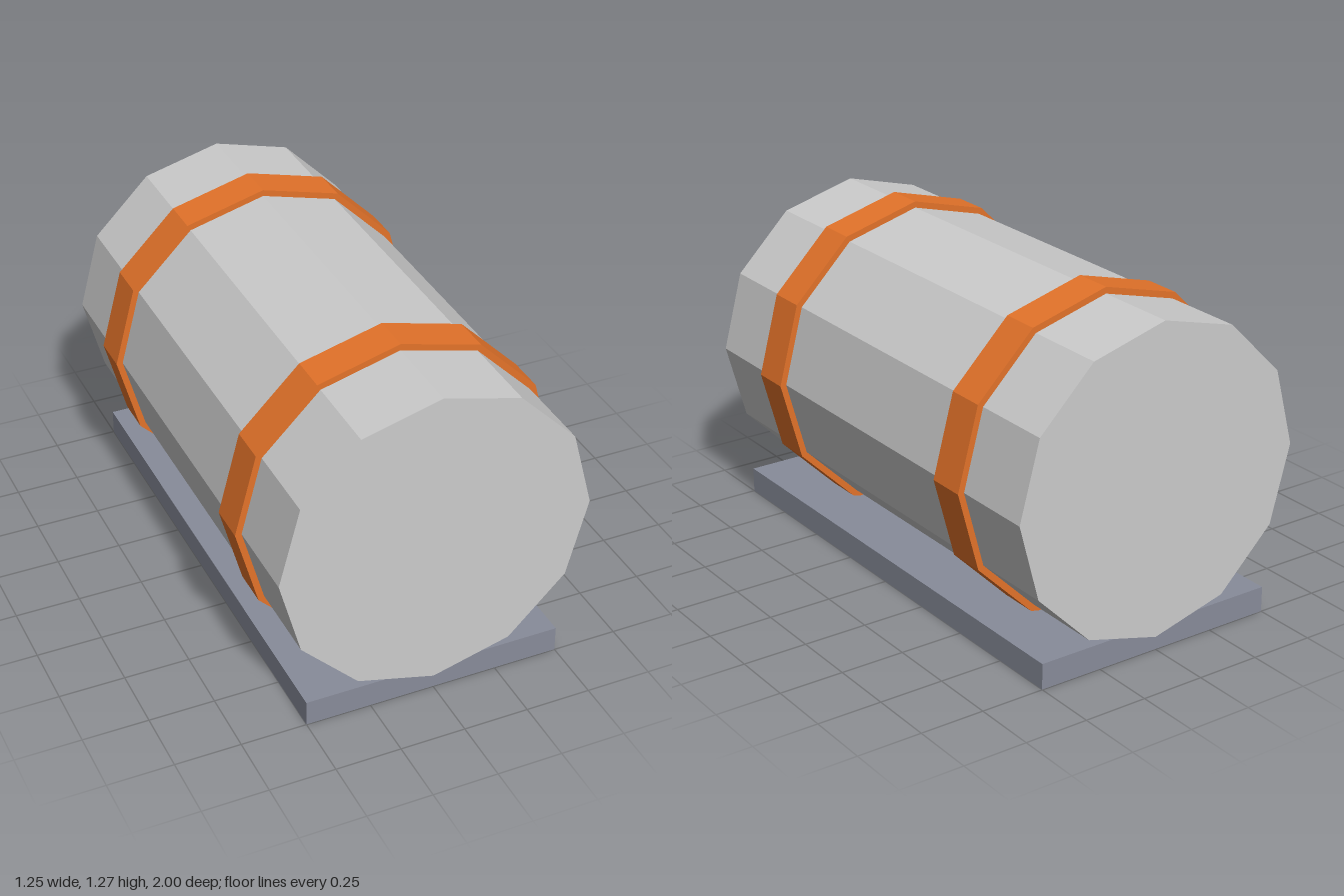
import * as THREE from 'three';

const SIDES = 12;
const AXIS_Y = 0.65;

const paint = (color) => new THREE.MeshStandardMaterial({ color, flatShading: true });

// Twelve-sided drum lying along z, with a corner at the top
function drum(name, radius, length, z, material) {
  const geometry = new THREE.CylinderGeometry(radius, radius, length, SIDES);
  geometry.rotateX(Math.PI / 2);
  const mesh = new THREE.Mesh(geometry, material);
  mesh.name = name;
  mesh.position.set(0, AXIS_Y, z);
  return mesh;
}

export function createModel() {
  const model = new THREE.Group();
  model.name = 'strappedTank';

  // Tank body
  model.add(drum('tank', 0.6, 2, 0, paint(0xcccccc)));

  // Two raised straps
  const strapPaint = paint(0xe4732a);
  model.add(drum('frontStrap', 0.625, 0.15, 0.6, strapPaint));
  model.add(drum('backStrap', 0.625, 0.15, -0.6, strapPaint));

  // Base plate, a hair shorter so the tank ends stay clean
  const base = new THREE.Mesh(new THREE.BoxGeometry(1, 0.1, 1.998), paint(0x888c9a));
  base.name = 'basePlate';
  base.position.y = 0.05;
  model.add(base);

  return model;
}
